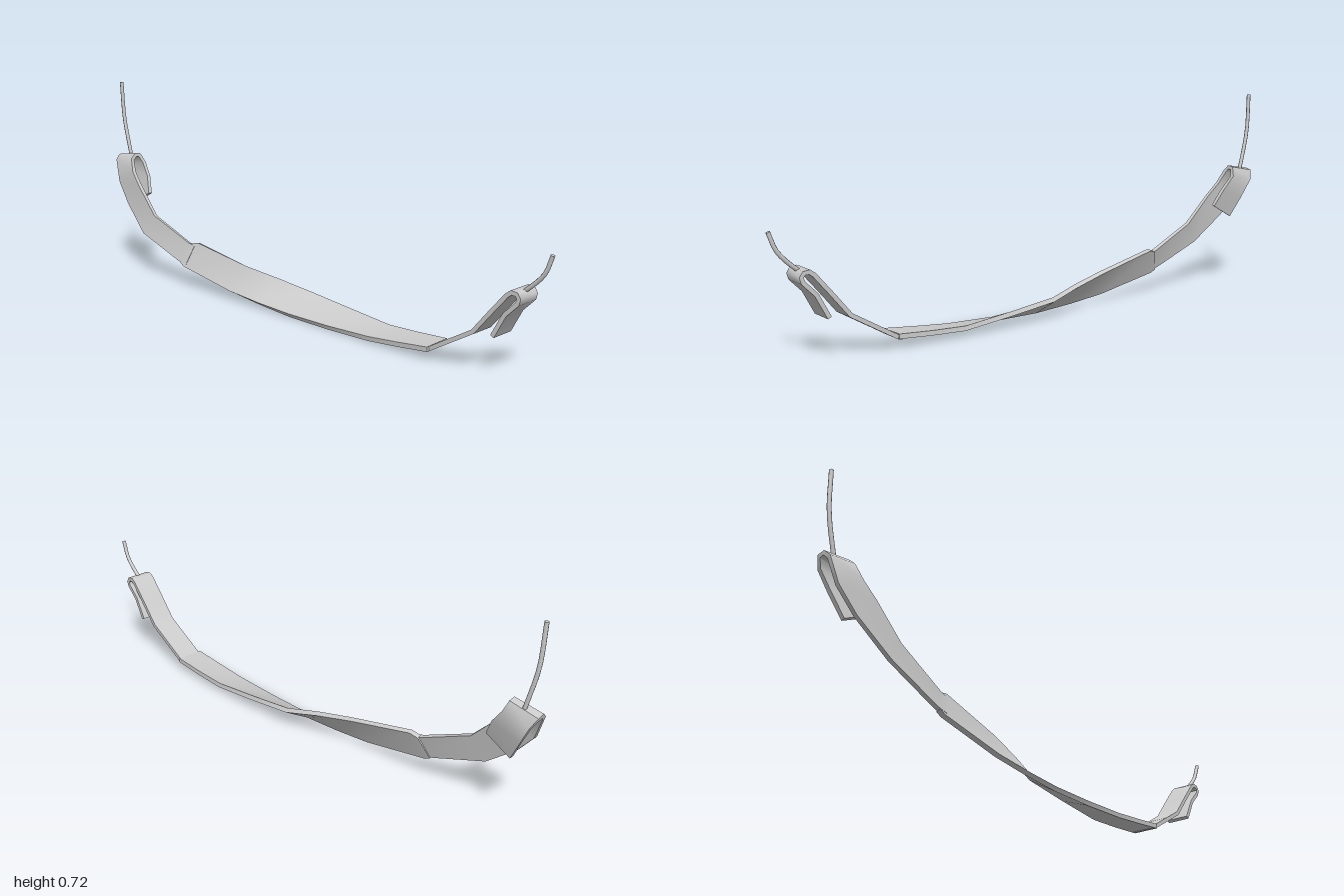
import * as THREE from 'three';
import { toCreasedNormals } from 'three/addons/utils/BufferGeometryUtils.js';

const V = (p) => new THREE.Vector3(...p);

// Flat band through pairs of edge points [edgeA, edgeB], with the given thickness
function band(name, pairs, thickness) {
  const A = pairs.map((p) => V(p[0]));
  const B = pairs.map((p) => V(p[1]));
  const mid = A.map((a, i) => a.clone().add(B[i]).multiplyScalar(0.5));
  const last = pairs.length - 1;
  const pos = [];
  const idx = [];
  for (let i = 0; i <= last; i++) {
    const t = new THREE.Vector3();
    if (i > 0) t.add(mid[i].clone().sub(mid[i - 1]).normalize());
    if (i < last) t.add(mid[i + 1].clone().sub(mid[i]).normalize());
    const n = t.cross(B[i].clone().sub(A[i])).normalize().multiplyScalar(thickness / 2);
    const ring = [A[i].clone().add(n), B[i].clone().add(n), B[i].clone().sub(n), A[i].clone().sub(n)];
    ring.forEach((p) => pos.push(p.x, p.y, p.z));
    if (i === last) continue;
    for (let j = 0; j < 4; j++) {
      const a = i * 4 + j;
      const b = i * 4 + ((j + 1) % 4);
      idx.push(a, a + 4, b + 4, a, b + 4, b);
    }
  }
  const e = last * 4;
  idx.push(0, 1, 2, 0, 2, 3, e, e + 2, e + 1, e, e + 3, e + 2);
  const geo = new THREE.BufferGeometry();
  geo.setAttribute('position', new THREE.Float32BufferAttribute(pos, 3));
  geo.setIndex(idx);
  return part(name, toCreasedNormals(geo, 0.9));
}

function part(name, geo) {
  const mesh = new THREE.Mesh(geo, new THREE.MeshStandardMaterial({ color: 0xcccccc, side: THREE.DoubleSide }));
  mesh.name = name;
  return mesh;
}

// Thin round cord with closed ends
function cord(name, points, radius) {
  const group = new THREE.Group();
  group.name = name;
  const curve = new THREE.CatmullRomCurve3(points.map(V));
  group.add(part(name + 'Tube', new THREE.TubeGeometry(curve, 8, radius, 8)));
  for (const u of [0, 1]) {
    const cap = part(name + 'Cap', new THREE.CircleGeometry(radius, 8));
    const p = curve.getPointAt(u);
    cap.position.copy(p);
    cap.lookAt(p.clone().addScaledVector(curve.getTangentAt(u), u ? 1 : -1));
    group.add(cap);
  }
  return group;
}

export function createModel() {
  const model = new THREE.Group();
  model.name = 'strap';

  // Wide pad, flat at the front and twisting upright towards the back
  model.add(band('widePad', [
    [[-0.043, 0.043, 0.6], [0.058, 0.046, 0.6]],
    [[-0.045, 0.03, 0.48], [0.06, 0.038, 0.48]],
    [[-0.046, 0.019, 0.36], [0.061, 0.033, 0.36]],
    [[-0.046, 0.013, 0.18], [0.06, 0.052, 0.18]],
    [[-0.046, 0.013, 0], [0.056, 0.073, 0]],
    [[-0.048, 0.022, -0.15], [0.027, 0.101, -0.13]],
    [[-0.05, 0.035, -0.29], [0.002, 0.124, -0.26]],
    [[-0.056, 0.079, -0.54], [-0.02, 0.171, -0.5]],
    [[-0.055, 0.09, -0.56], [-0.026, 0.163, -0.53]],
  ], 0.016));

  // Front end strap, folded back underneath: [y, z] along its middle
  const frontPath = [
    [0.043, 0.61], [0.043, 0.6], [0.09, 0.68], [0.137, 0.76], [0.21, 0.82], [0.275, 0.875],
    [0.286, 0.89], [0.284, 0.908], [0.272, 0.916], [0.256, 0.911], [0.215, 0.87], [0.14, 0.83],
  ];
  frontPath[0] = [0.04, 0.585];
  model.add(band('frontStrap',
    frontPath.map(([y, z]) => [[-0.034, y, z], [0.053, y, z]]), 0.014));

  // Back end strap, folded over the top with its flap hanging on the left side
  model.add(band('backStrap', [
    [[-0.054, 0.088, -0.53], [-0.028, 0.158, -0.51]],
    [[-0.056, 0.095, -0.57], [-0.031, 0.166, -0.54]],
    [[-0.063, 0.168, -0.77], [-0.047, 0.243, -0.72]],
    [[-0.042, 0.265, -0.89], [-0.04, 0.345, -0.82]],
    [[-0.031, 0.34, -0.955], [-0.032, 0.39, -0.865]],
    [[-0.021, 0.42, -0.985], [-0.019, 0.435, -0.89]],
    [[-0.005, 0.435, -0.991], [-0.002, 0.451, -0.89]],
    [[0.014, 0.43, -0.991], [0.015, 0.448, -0.89]],
    [[0.028, 0.4, -0.975], [0.028, 0.42, -0.88]],
    [[0.015, 0.335, -0.94], [0.018, 0.37, -0.84]],
    [[-0.003, 0.262, -0.9], [0, 0.31, -0.81]],
  ], 0.014));

  // Cords leaving each folded loop
  model.add(cord('frontCord', [[0.011, 0.278, 0.897], [0.011, 0.32, 0.945], [0.01, 0.352, 0.972], [0.008, 0.408, 0.994]], 0.007));
  model.add(cord('backCord', [[0.011, 0.41, -0.93], [0.011, 0.46, -0.943], [0.01, 0.585, -0.973], [0.008, 0.725, -0.981]], 0.007));

  return model;
}
